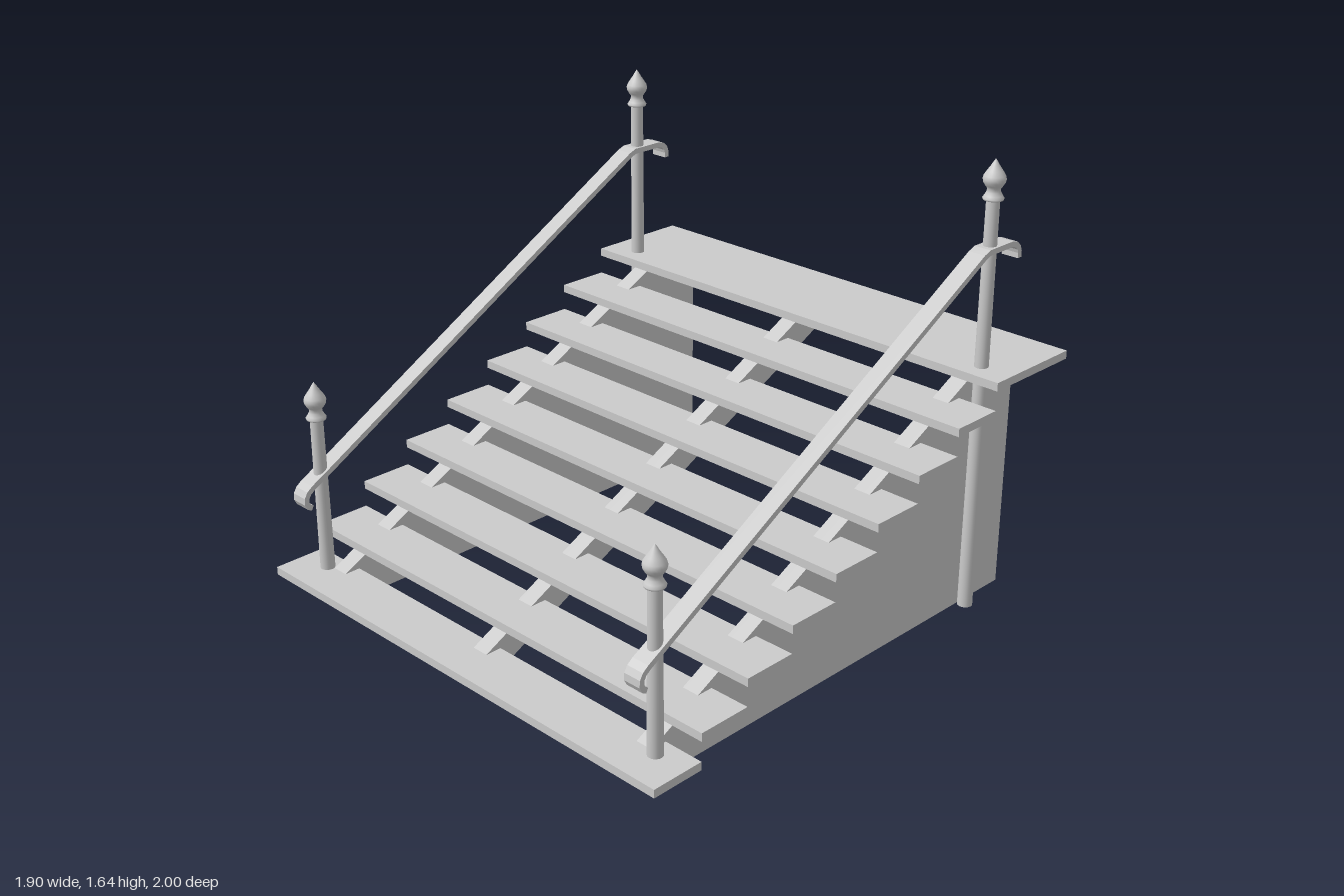
import * as THREE from 'three';

const material = new THREE.MeshStandardMaterial({ color: 0xcccccc });

function addMesh(parent, geometry, name) {
  const mesh = new THREE.Mesh(geometry, material);
  mesh.name = name;
  parent.add(mesh);
  return mesh;
}

// Extrude a side outline given as [z, y] points, centred across x
function sideExtrude(points, width) {
  const shape = new THREE.Shape(points.map(([z, y]) => new THREE.Vector2(z, y)));
  const geometry = new THREE.ExtrudeGeometry(shape, { depth: width, bevelEnabled: false });
  geometry.translate(0, 0, -width / 2);
  geometry.rotateY(-Math.PI / 2);
  return geometry;
}

// Thicken a [z, y] centre line into a closed outline
function ribbonOutline(path, thickness) {
  const upper = [], lower = [];
  path.forEach(([z, y], i) => {
    const a = path[Math.max(i - 1, 0)], b = path[Math.min(i + 1, path.length - 1)];
    const dz = b[0] - a[0], dy = b[1] - a[1];
    const k = thickness / 2 / Math.hypot(dz, dy);
    upper.push([z - dy * k, y + dz * k]);
    lower.push([z + dy * k, y - dz * k]);
  });
  return upper.concat(lower.reverse());
}

// Turned post with a pointed finial
function postGeometry(height) {
  const h = height;
  const profile = [
    [0, 0], [0.027, 0], [0.023, h - 0.14], [0.023, h - 0.14], [0.034, h - 0.138],
    [0.036, h - 0.132], [0.03, h - 0.123], [0.024, h - 0.112], [0.022, h - 0.1],
    [0.03, h - 0.09], [0.037, h - 0.078], [0.039, h - 0.067], [0.036, h - 0.056],
    [0.026, h - 0.04], [0.015, h - 0.024], [0.007, h - 0.01], [0, h],
  ];
  return new THREE.LatheGeometry(profile.map(([r, y]) => new THREE.Vector2(r, y)), 24);
}

export function createModel() {
  const model = new THREE.Group();
  model.name = 'staircase';

  // Open treads
  const treads = new THREE.Group();
  treads.name = 'treads';
  model.add(treads);
  for (let i = 0; i < 8; i++) {
    addMesh(treads, new THREE.BoxGeometry(1.9, 0.03, 0.2), `tread${i + 1}`)
      .position.set(0, 0.1 + 0.1 * i, 0.9 - 0.2 * i);
  }

  // Top landing
  addMesh(model, new THREE.BoxGeometry(1.9, 0.03, 0.4), 'landing').position.set(0, 0.9, -0.8);

  // Solid side walls and the sloping centre beam
  const wall = sideExtrude([[0.87, 0], [0.87, 0.11], [-0.68, 0.885], [-0.9, 0.885], [-0.9, 0]], 0.065);
  const beam = sideExtrude([[0.87, 0], [0.87, 0.11], [-0.68, 0.885], [-0.9, 0.885]], 0.065);
  addMesh(model, beam, 'centreBeam');

  // Handrail with curled ends
  const railPath = [
    [0.935, 0.383], [0.948, 0.39], [0.956, 0.405], [0.955, 0.425], [0.945, 0.442], [0.925, 0.457],
    [0.87, 0.487], [-0.615, 1.325], [-0.64, 1.335], [-0.765, 1.335], [-0.787, 1.329],
    [-0.802, 1.315], [-0.808, 1.298], [-0.808, 1.278],
  ];
  const rail = sideExtrude(ribbonOutline(railPath, 0.02), 0.065);
  const frontPost = postGeometry(0.83), backPost = postGeometry(1.64);

  // Mirrored sides
  for (const [side, s] of [['left', 1], ['right', -1]]) {
    addMesh(model, wall, `${side}Wall`).position.x = s * 0.767;
    addMesh(model, rail, `${side}Handrail`).position.x = s * 0.825;
    addMesh(model, frontPost, `${side}FrontPost`).position.set(s * 0.825, 0, 0.87);
    addMesh(model, backPost, `${side}BackPost`).position.set(s * 0.825, 0, -0.68);
  }
  return model;
}
